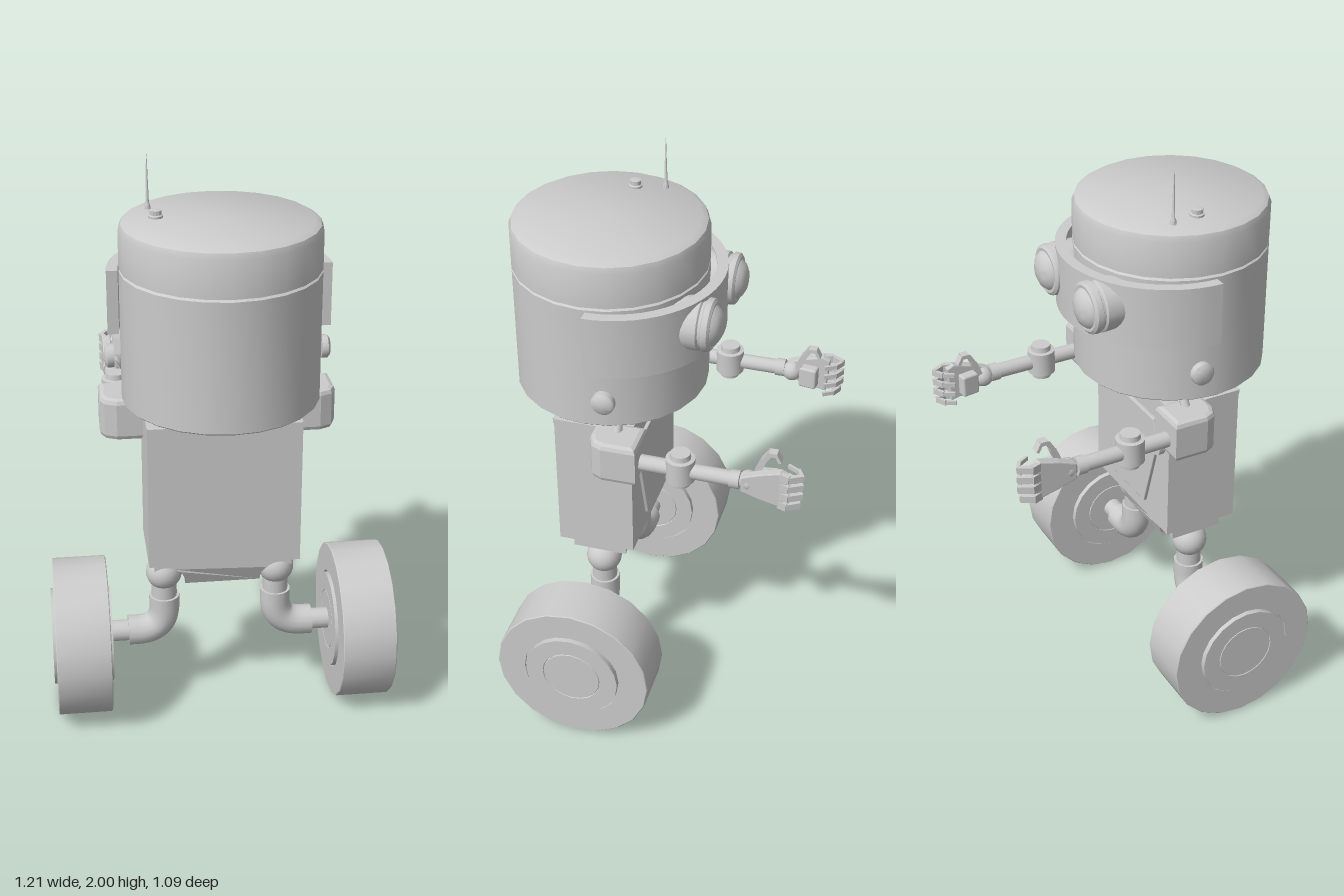
import * as THREE from 'three';
import { toCreasedNormals } from 'three/addons/utils/BufferGeometryUtils.js';
import { RoundedBoxGeometry } from 'three/addons/geometries/RoundedBoxGeometry.js';

const grey = new THREE.MeshStandardMaterial({ color: 0xcccccc });
const V = (x, y, z) => new THREE.Vector3(x, y, z);

function add(parent, name, geo, x = 0, y = 0, z = 0) {
  const m = new THREE.Mesh(geo, grey);
  m.name = name;
  m.position.set(x, y, z);
  parent.add(m);
  return m;
}

function group(parent, name) {
  const g = new THREE.Group();
  g.name = name;
  parent.add(g);
  return g;
}

// Turned solid from [radius, height] pairs, with sharp edges kept
function turned(points, sides = 24) {
  const geo = new THREE.LatheGeometry(points.map(p => new THREE.Vector2(...p)), sides);
  return toCreasedNormals(geo, 0.6);
}

const box = (w, h, d) => new THREE.BoxGeometry(w, h, d);

// Rod between two points
function rod(parent, name, a, b, r0, r1 = r0, sides = 16) {
  const dir = b.clone().sub(a);
  const m = add(parent, name, new THREE.CylinderGeometry(r1, r0, dir.length(), sides));
  m.position.copy(a).add(b).multiplyScalar(0.5);
  m.quaternion.setFromUnitVectors(V(0, 1, 0), dir.normalize());
  return m;
}

// Flat outline extruded along z
function plate(points, depth, bevel = 0) {
  const shape = new THREE.Shape(points.map(p => new THREE.Vector2(...p)));
  return new THREE.ExtrudeGeometry(shape, {
    depth, bevelEnabled: bevel > 0, bevelSize: bevel, bevelOffset: -bevel, bevelThickness: bevel, bevelSegments: 2,
  });
}

function buildHead(root) {
  const head = group(root, 'head');
  add(head, 'headDrum', turned([[0, 1.2], [0.328, 1.2], [0.333, 1.205], [0.333, 1.65], [0.325, 1.656], [0, 1.656]]), 0, 0, 0.21);
  add(head, 'headLid', turned([[0, 1.66], [0.333, 1.66], [0.333, 1.785], [0.325, 1.805], [0.305, 1.817], [0, 1.82]]), 0, 0, 0.21);
  add(head, 'lidSeam', new THREE.CylinderGeometry(0.325, 0.325, 0.02, 24), 0, 1.657, 0.21);
  add(head, 'antenna', turned([[0, 1.81], [0.012, 1.81], [0.01, 1.83], [0.006, 1.84], [0.001, 2]], 10), -0.227, 0, 0.085);
  add(head, 'lidKnob', turned([[0, 1.81], [0.024, 1.81], [0.024, 1.825], [0.019, 1.828], [0.019, 1.842], [0, 1.846]], 12), -0.208, 0, 0.185);

  // Jaw band wrapped around the face
  const band = new THREE.Shape();
  band.absarc(0, 0, 0.373, 0, Math.PI, false);
  band.absarc(0, 0, 0.335, Math.PI, 0, true);
  const jawGeo = new THREE.ExtrudeGeometry(band, { depth: 0.22, bevelEnabled: false, curveSegments: 14 });
  add(head, 'jawBand', toCreasedNormals(jawGeo, 0.6), 0, 1.425, 0.19).rotation.x = -Math.PI / 2;
  rod(head, 'neck', V(0, 1.12, 0.19), V(0, 1.22, 0.19), 0.08);

  for (const s of [1, -1]) {
    const eye = add(head, 'eye', turned([
      [0, 0], [0.088, 0], [0.09, 0.1], [0.083, 0.105], [0.083, 0.113], [0.09, 0.117], [0.088, 0.136],
      [0.078, 0.143], [0.068, 0.142], [0.056, 0.157], [0.034, 0.168], [0, 0.172],
    ]), s * 0.152, 1.55, -0.05 + s * 0.004);
    eye.rotation.x = -Math.PI / 2;
    const bolt = add(head, 'jawBolt', turned([[0, -0.01], [0.04, -0.01], [0.04, 0.012], [0.03, 0.02], [0, 0.023]], 16), s * 0.362, 1.325, 0.128);
    bolt.rotation.z = -s * Math.PI / 2;
  }
}

function buildBody(root) {
  const body = group(root, 'body');
  add(body, 'torso', box(0.523, 0.525, 0.275), 0, 0.8825, 0.205);
  add(body, 'topPlate', box(0.515, 0.02, 0.28), 0, 1.135, 0.208);
  // Raised panel and dial on the chest
  add(body, 'chestPanel', plate([[-0.17, 1.06], [0.17, 1.06], [0.2, 0.98], [0.11, 0.68], [-0.11, 0.68], [-0.2, 0.98]], 0.012, 0.003), 0, 0, 0.058);
  rod(body, 'chestDial', V(-0.2, 0.975, 0.08), V(-0.2, 0.975, 0.045), 0.038);

  // Pelvis, notched around the hip balls
  const shape = new THREE.Shape();
  shape.moveTo(-0.24, 0.625);
  shape.lineTo(0.24, 0.625);
  shape.lineTo(0.24, 0.575);
  shape.absarc(0.2, 0.52, 0.068, 0.94, Math.PI, false);
  shape.lineTo(0.132, 0.51);
  shape.lineTo(-0.132, 0.51);
  shape.absarc(-0.2, 0.52, 0.068, 0, Math.PI - 0.94, false);
  shape.lineTo(-0.24, 0.575);
  const pelvis = new THREE.ExtrudeGeometry(shape, { depth: 0.195, bevelEnabled: false, curveSegments: 8 });
  // Taper front and back toward the bottom
  const p = pelvis.attributes.position;
  for (let i = 0; i < p.count; i++) {
    const k = 0.75 + 0.25 * Math.min(1, (p.getY(i) - 0.51) / 0.06);
    p.setZ(i, 0.2 + (p.getZ(i) - 0.0975) * k);
  }
  pelvis.computeVertexNormals();
  add(body, 'pelvis', pelvis);
}

function buildLeg(root, s) {
  const leg = group(root, s > 0 ? 'leftLeg' : 'rightLeg');
  const z = 0.198;
  add(leg, 'hipBall', new THREE.SphereGeometry(0.064, 20, 14), s * 0.2, 0.52, z);
  rod(leg, 'shin', V(s * 0.2, 0.4, z), V(s * 0.2, 0.5, z), 0.045);
  // Bent pipe from the shin out to the axle
  const path = new THREE.CurvePath();
  path.add(new THREE.LineCurve3(V(s * 0.2, 0.425, z), V(s * 0.2, 0.385, z)));
  path.add(new THREE.QuadraticBezierCurve3(V(s * 0.2, 0.385, z), V(s * 0.2, 0.285, z), V(s * 0.3, 0.285, z)));
  path.add(new THREE.LineCurve3(V(s * 0.3, 0.285, z), V(s * 0.33, 0.285, z)));
  add(leg, 'elbowPipe', new THREE.TubeGeometry(path, 18, 0.054, 16));
  rod(leg, 'pipeCap', V(s * 0.2, 0.42, z), V(s * 0.2, 0.426, z), 0.054);
  rod(leg, 'pipeCap', V(s * 0.325, 0.285, z), V(s * 0.331, 0.285, z), 0.054);
  rod(leg, 'axle', V(s * 0.32, 0.285, z), V(s * 0.42, 0.285, z), 0.038);

  // Tyre with a shallow groove around each hub
  const wheel = add(leg, 'wheel', turned([
    [0, -0.105], [0.103, -0.105], [0.105, -0.102], [0.107, -0.105], [0.17, -0.105], [0.17, -0.085], [0.178, -0.085],
    [0.178, -0.095], [0.276, -0.095], [0.279, -0.092], [0.279, 0.092], [0.276, 0.095], [0.178, 0.095],
    [0.178, 0.085], [0.17, 0.085], [0.17, 0.105], [0.107, 0.105], [0.105, 0.102], [0.103, 0.105], [0, 0.105],
  ], 20), s * 0.498, 0.28, z);
  wheel.rotation.z = Math.PI / 2;
}

function buildArm(root, s) {
  const arm = group(root, s > 0 ? 'leftArm' : 'rightArm');
  const x = s * 0.34, y = 1.09;
  // Shoulder housing, rounded at the outer back corner
  const outline = [[0.262, 0.01], [0.405, 0.01], [0.407, 0.13], [0.39, 0.165], [0.35, 0.183], [0.262, 0.183]];
  const shoulder = plate(outline.map(([a, b]) => [s * a, b]), 0.115, 0.018);
  add(arm, 'shoulder', shoulder, 0, 1.163, 0).rotation.x = Math.PI / 2;
  rod(arm, 'shoulderCable', V(s * 0.325, 1.14, 0.1), V(s * 0.29, 1.21, 0.1), 0.02, 0.014, 10);

  rod(arm, 'upperArm', V(x, y, 0.04), V(x, y, -0.11), 0.028);
  // Elbow drum with a narrower cap at each end
  add(arm, 'elbow', turned([
    [0, -0.064], [0.034, -0.064], [0.036, -0.045], [0.05, -0.043], [0.05, 0.043], [0.036, 0.045], [0.034, 0.064], [0, 0.064],
  ], 20), s * 0.336, 1.092, -0.127);
  rod(arm, 'forearm', V(x, y, -0.13), V(x, y, -0.32), 0.027);
  rod(arm, 'wristCuff', V(x, y, -0.3), V(x, y, -0.333), 0.032);

  const hand = group(arm, 'hand');
  add(hand, 'wristBall', new THREE.SphereGeometry(0.036, 14, 10), s * 0.333, 1.088, -0.36);
  // Palm widening toward the knuckles
  const palm = plate([[0.34, 1.06], [0.34, 1.118], [0.4, 1.142], [0.47, 1.162], [0.495, 1.15], [0.485, 1.02], [0.4, 1.04]], 0.024, 0.004);
  add(hand, 'palm', palm, s * 0.35 - 0.012, 0, 0).rotation.y = Math.PI / 2;
  add(hand, 'palmPad', new RoundedBoxGeometry(0.04, 0.08, 0.065, 2, 0.008), s * 0.312, 1.088, -0.425).rotation.y = s * 0.15;

  // Four fingers curling inward
  const bends = [[0.357, -0.47], [0.367, -0.5], [0.346, -0.54], [0.315, -0.522], [0.296, -0.487]];
  for (let f = 0; f < 4; f++) {
    const fy = 1.145 - f * 0.0375, len = f === 3 ? 0.9 : 1;
    const pts = bends.map(([bx, bz]) => V(s * bx, fy, -0.47 + (bz + 0.47) * len));
    for (let i = 0; i < 4; i++) {
      const a = pts[i], b = pts[i + 1], size = 0.025 - i * 0.004;
      const m = add(hand, 'finger', box(size * 0.7, size * 1.15, a.distanceTo(b) + 0.006));
      m.position.copy(a).add(b).multiplyScalar(0.5);
      m.lookAt(b);
    }
  }
  // Hooked thumb
  const thumb = [[1.12, -0.385], [1.17, -0.405], [1.203, -0.425], [1.203, -0.447], [1.178, -0.46]];
  for (let i = 0; i < 4; i++) {
    const [a, b] = [thumb[i], thumb[i + 1]].map(([ty, tz]) => V(s * 0.315, ty, tz));
    const m = add(hand, 'thumb', box(0.03, 0.02 - i * 0.003, a.distanceTo(b) + 0.006));
    m.position.copy(a).add(b).multiplyScalar(0.5);
    m.lookAt(b);
  }
}

export function createModel() {
  const root = new THREE.Group();
  root.name = 'robot';
  buildHead(root);
  buildBody(root);
  for (const s of [1, -1]) {
    buildLeg(root, s);
    buildArm(root, s);
  }
  return root;
}
